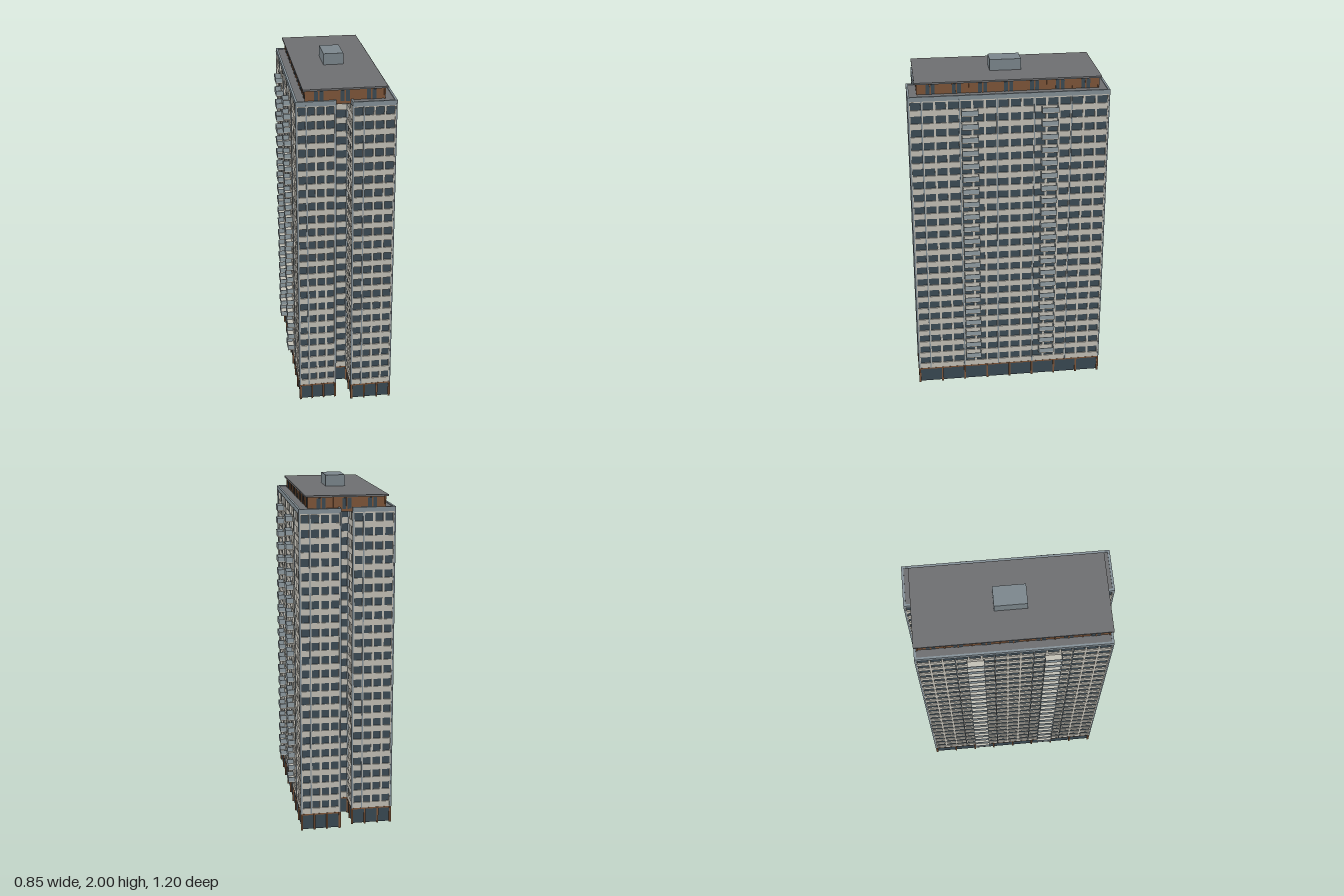
import * as THREE from 'three';
import { mergeGeometries } from 'three/addons/utils/BufferGeometryUtils.js';

const mat = (color) => new THREE.MeshStandardMaterial({ color, flatShading: true, side: THREE.DoubleSide });
const M = {
  wall: mat(0xc6c3b9), glass: mat(0x3d4c56), trim: mat(0x87939a), brown: mat(0x80573a),
  dark: mat(0x3a2a22), roof: mat(0x6f7072), plant: mat(0x7d888e), rail: mat(0x93a0a6), lobby: mat(0x3a4a54),
};

// Plan outline (x, z): two slipped wings with a slot at each end
const HL = 0.5245, HR = 0.5635, SLOT = 0.36;
const PLAN = [
  [-0.28, -HL], [-0.045, -HL], [-0.045, -SLOT], [0.027, -SLOT], [0.027, -HR], [0.257, -HR],
  [0.257, HR], [0.02, HR], [0.02, SLOT], [-0.065, SLOT], [-0.065, HL], [-0.28, HL],
];
// Windows along each edge of the plan
const BAYS = [4, 3, 1, 3, 4, 16, 4, 3, 1, 3, 4, 15];
const FLOORS = 22, PITCH = 0.079, BASE = 0.1, TOP = 1.87;

// Move every edge of a right-angled outline inwards by d
function inset(pts, d) {
  const n = pts.length;
  const normal = (a, b) => [-Math.sign(b[1] - a[1]), Math.sign(b[0] - a[0])];
  return pts.map((p, i) => {
    const a = normal(pts[(i + n - 1) % n], p), b = normal(p, pts[(i + 1) % n]);
    return [p[0] + d * (a[0] + b[0]), p[1] + d * (a[1] + b[1])];
  });
}

const vecs = (pts) => pts.map(([x, z]) => new THREE.Vector2(x, -z));

// Upright prism on an outline, optionally hollow
function prism(pts, y0, y1, hole) {
  const shape = new THREE.Shape(vecs(pts));
  if (hole) shape.holes.push(new THREE.Path(vecs(hole)));
  const g = new THREE.ExtrudeGeometry(shape, { depth: y1 - y0, bevelEnabled: false });
  return g.rotateX(-Math.PI / 2).translate(0, y0, 0);
}

// Box given by its ranges
function box(x0, x1, y0, y1, z0, z1) {
  return new THREE.BoxGeometry(x1 - x0, y1 - y0, z1 - z0)
    .translate((x0 + x1) / 2, (y0 + y1) / 2, (z0 + z1) / 2);
}

// Upright posts spread along the edges of an outline
function posts(pts, counts, width, depth, y0, y1, every = 1) {
  const out = [];
  pts.forEach((a, i) => {
    const b = pts[(i + 1) % pts.length], n = counts[i];
    const alongX = a[1] === b[1];
    for (let k = 0; k <= n; k += every) {
      const t = k / n, x = a[0] + (b[0] - a[0]) * t, z = a[1] + (b[1] - a[1]) * t;
      const w = (alongX ? width : depth) / 2, d = (alongX ? depth : width) / 2;
      out.push(box(x - w, x + w, y0, y1, z - d, z + d));
    }
  });
  return out;
}

export function createModel() {
  const root = new THREE.Group();
  root.name = 'towerBlock';
  const tower = new THREE.Group();
  tower.name = 'tower';
  root.add(tower);
  const add = (name, geo, material) => {
    const mesh = new THREE.Mesh(Array.isArray(geo) ? mergeGeometries(geo) : geo, material);
    mesh.name = name;
    tower.add(mesh);
  };

  // Ground floor: open-bottomed glazed shell, brown columns and ceiling
  add('lobbyGlazing', prism(inset(PLAN, 0.006), 0.004, BASE - 0.008, inset(PLAN, 0.01)), M.lobby);
  add('lobbyBeam', prism(PLAN, BASE - 0.008, BASE, inset(PLAN, 0.01)), M.brown);
  add('lobbyCeiling', prism(inset(PLAN, 0.004), BASE - 0.006, BASE, null), M.dark);
  add('lobbyColumns', posts(inset(PLAN, 0.004), [3, 2, 1, 2, 3, 8, 3, 2, 1, 2, 3, 8], 0.01, 0.012, 0, BASE), M.brown);

  // Window core with a solid wall band around every storey
  add('windowGlass', prism(inset(PLAN, 0.008), BASE, TOP - 0.02), M.glass);
  const bands = [];
  for (let i = 0; i <= FLOORS; i++) {
    const y0 = i === 0 ? BASE : BASE + i * PITCH - 0.001;
    bands.push(prism(inset(PLAN, 0.001), y0, y0 + (i === FLOORS ? 0.012 : 0.034)));
  }
  add('wallBands', bands, M.wall);
  add('windowPiers', posts(inset(PLAN, 0.005), BAYS, 0.012, 0.008, BASE, TOP - 0.02), M.wall);
  add('pilasters', posts(inset(PLAN, 0.002), BAYS, 0.007, 0.01, BASE, TOP - 0.02, 3), M.trim);

  // Parapet and terrace
  add('parapet', prism(inset(PLAN, -0.002), TOP - 0.026, TOP, inset(PLAN, 0.01)), M.trim);
  add('terrace', prism(inset(PLAN, 0.009), TOP - 0.02, TOP - 0.005), M.roof);

  // Balconies: two stacks on each long side
  for (const [side, face, spread] of [[1, 0.257, 0.225], [-1, 0.28, 0.208]]) {
    for (const end of [1, -1]) {
      const slabs = [], rails = [], z = end * spread, h = 0.047;
      for (let i = 1; i < FLOORS; i++) {
        const y = BASE + i * PITCH - 0.001;
        const span = (a, b, y0, y1, z0, z1) =>
          box(Math.min(side * a, side * b), Math.max(side * a, side * b), y0, y1, z0, z1);
        slabs.push(span(face - 0.005, face + 0.04, y, y + 0.006, z - h, z + h));
        rails.push(span(face + 0.037, face + 0.04, y + 0.006, y + 0.034, z - h, z + h));
        for (const s of [1, -1]) {
          const e = z + s * (h - 0.0015);
          rails.push(span(face, face + 0.037, y + 0.006, y + 0.034, e - 0.0015, e + 0.0015));
        }
      }
      add('balconySlabs', slabs, M.wall);
      add('balconyRails', rails, M.rail);
    }
  }

  // Set-back top storey with windows and brown posts
  const hz = HL - 0.016;
  const pent = [[-0.226, -hz], [0.2, -hz], [0.2, hz], [-0.226, hz]];
  add('topStorey', prism(pent, TOP - 0.025, 1.926), M.brown);
  add('topStoreyPosts', posts(pent, [6, 14, 6, 14], 0.008, 0.008, TOP - 0.02, 1.926), M.brown);
  const panes = [];
  for (const s of [1, -1]) {
    for (const x of [-0.155, -0.013, 0.129]) {
      panes.push(box(x - 0.025, x + 0.025, TOP - 0.01, 1.92, s * hz - 0.002, s * hz + 0.002));
    }
    for (let k = -3; k <= 3; k++) {
      const x = s > 0 ? 0.2 : -0.226, z = k * 2 * hz / 7;
      panes.push(box(x - 0.002, x + 0.002, TOP - 0.01, 1.92, z - 0.025, z + 0.025));
    }
  }
  add('topStoreyWindows', panes, M.glass);

  // Roof slab and plant room
  add('roofSlab', box(-0.242, 0.216, 1.926, 1.936, -HL, HL), M.roof);
  add('plantRoom', box(-0.071, 0.042, 1.936, 2, -0.09, 0.088), M.plant);

  // The block stands turned on its site
  const turn = THREE.MathUtils.degToRad(17.5);
  tower.rotation.y = turn;
  tower.position.set(0.016 * Math.sin(turn), 0, 0.016 * Math.cos(turn));
  return root;
}
